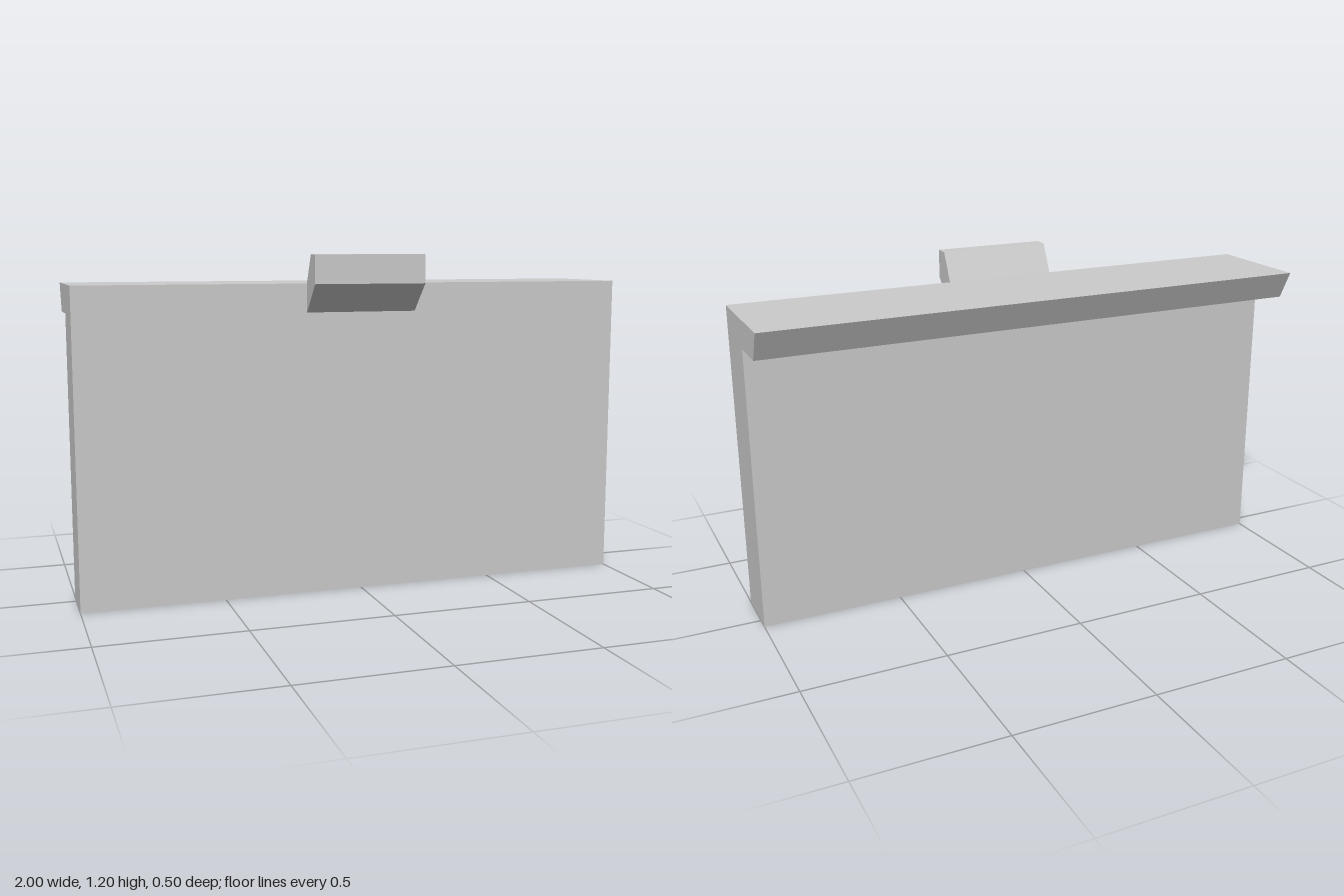
import * as THREE from 'three';

const material = new THREE.MeshStandardMaterial({ color: 0xcccccc, flatShading: true });

// Extrudes a side profile of [z, y] points along x, centred on x = 0
function profilePart(name, points, width) {
  const shape = new THREE.Shape(points.map(([z, y]) => new THREE.Vector2(z, y)));
  const geometry = new THREE.ExtrudeGeometry(shape, { depth: width, bevelEnabled: false });
  geometry.translate(0, 0, -width / 2);
  geometry.rotateY(-Math.PI / 2);
  const mesh = new THREE.Mesh(geometry, material);
  mesh.name = name;
  return mesh;
}

export function createModel() {
  const model = new THREE.Group();
  model.name = 'panelWithLedge';

  // Upright panel with a bevelled ledge along its top, at the back
  model.add(profilePart('panelAndLedge', [
    [0.15, 0], [0.15, 1.1], [-0.25, 1.1], [-0.2, 1], [-0.05, 1], [-0.05, 0],
  ], 2));

  // Slanted grip at the top of the front face
  model.add(profilePart('handle', [
    [0.15, 1], [0.25, 1.1], [0.25, 1.2], [0.2, 1.2], [0.15, 1.1],
  ], 0.4));

  return model;
}
